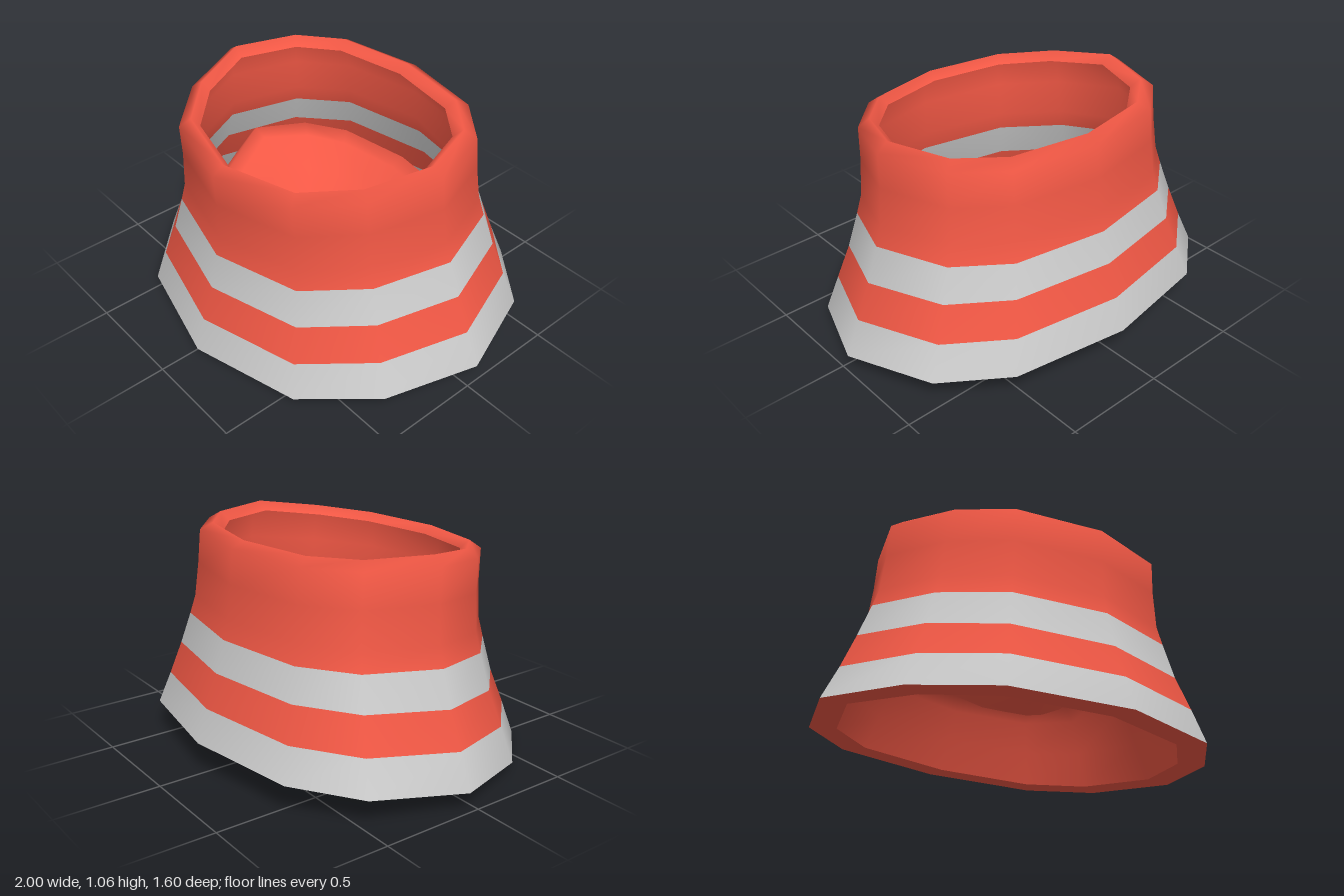
import * as THREE from 'three';

const RED = 0xf25845, GREY = 0xcccccc;

// One half of the twelve-sided outline, front to back, in units of each ring's reach
const HALF = [[0, 1], [0.55, 0.83], [0.84, 0.46], [1, -0.065], [0.85, -0.6], [0.565, -0.88], [0, -1]];
const OUTLINE = [...HALF, ...HALF.slice(1, -1).reverse().map(([x, z]) => [-x, z])];
const N = OUTLINE.length;

// Ring: half width, front z, back z, then heights at front, side and back
function ringPoints([w, zf, zb, yf, ys, yb]) {
  const mid = (zf + zb) / 2, half = (zf - zb) / 2;
  return OUTLINE.map(([x, z]) => {
    const y = z > -0.065 ? ys + (yf - ys) * (z + 0.065) / 1.065 : ys + (yb - ys) * (-0.065 - z) / 0.935;
    return [x * w, y, mid + z * half];
  });
}

// Skin through a stack of rings, smooth across all of them
function loft(rings) {
  const pos = [];
  rings.forEach(r => ringPoints(r).forEach(p => pos.push(...p)));
  const geo = new THREE.BufferGeometry();
  geo.setAttribute('position', new THREE.Float32BufferAttribute(pos, 3));
  geo.setIndex(bandIndex(0, rings.length - 1));
  geo.computeVertexNormals();
  return geo;
}

function bandIndex(from, to) {
  const idx = [];
  for (let j = from; j < to; j++) {
    for (let i = 0; i < N; i++) {
      const a = j * N + i, b = j * N + (i + 1) % N;
      idx.push(a, b, b + N, a, b + N, a + N);
    }
  }
  return idx;
}

export function createModel() {
  const group = new THREE.Group();
  group.name = 'stripedCollar';

  const add = (name, geo, color) => {
    const mesh = new THREE.Mesh(geo, new THREE.MeshStandardMaterial({ color, side: THREE.DoubleSide }));
    mesh.name = name;
    group.add(mesh);
  };

  const outer = [
    [1.0, 0.8, -0.8, 0.0, 0.093, 0.155],
    [0.925, 0.75, -0.745, 0.165, 0.255, 0.31],
    [0.855, 0.69, -0.69, 0.33, 0.425, 0.47],
    [0.795, 0.65, -0.645, 0.505, 0.59, 0.62],
    [0.765, 0.63, -0.62, 0.6, 0.68, 0.71],
    [0.745, 0.628, -0.6, 0.78, 0.86, 0.87],
    [0.737, 0.637, -0.585, 0.935, 1.02, 1.03],
    [0.68, 0.58, -0.525, 0.975, 1.06, 1.062],
    [0.635, 0.54, -0.48, 0.935, 1.015, 1.02],
  ];
  const shell = loft(outer);

  // Striped wall, with the rolled lip on the last band
  const bands = [
    ['hemStripe', 0, 1, GREY], ['lowerRedStripe', 1, 2, RED],
    ['upperGreyStripe', 2, 3, GREY], ['neckWallAndLip', 3, 8, RED],
  ];
  for (const [name, from, to, color] of bands) {
    const geo = shell.clone();
    geo.setIndex(bandIndex(from, to));
    add(name, geo, color);
  }

  // Flat underside of the hem
  const innerHem = [0.87, 0.66, -0.69, 0.015, 0.1, 0.15];
  add('hemUnderside', loft([innerHem, outer[0]]), RED);

  // Inner lining: rises from the hem, folds over and sinks into a bowl
  add('innerLining', loft([
    [0.001, 0.081, 0.079, 0.27, 0.27, 0.27],
    [0.2, 0.24, -0.12, 0.285, 0.295, 0.29],
    [0.4, 0.33, -0.32, 0.36, 0.44, 0.38],
    [0.56, 0.38, -0.46, 0.4, 0.55, 0.48],
    [0.65, 0.43, -0.53, 0.39, 0.56, 0.51],
    [0.72, 0.49, -0.57, 0.32, 0.47, 0.44],
    [0.8, 0.58, -0.63, 0.18, 0.28, 0.3],
    innerHem,
  ]), RED);

  return group;
}
